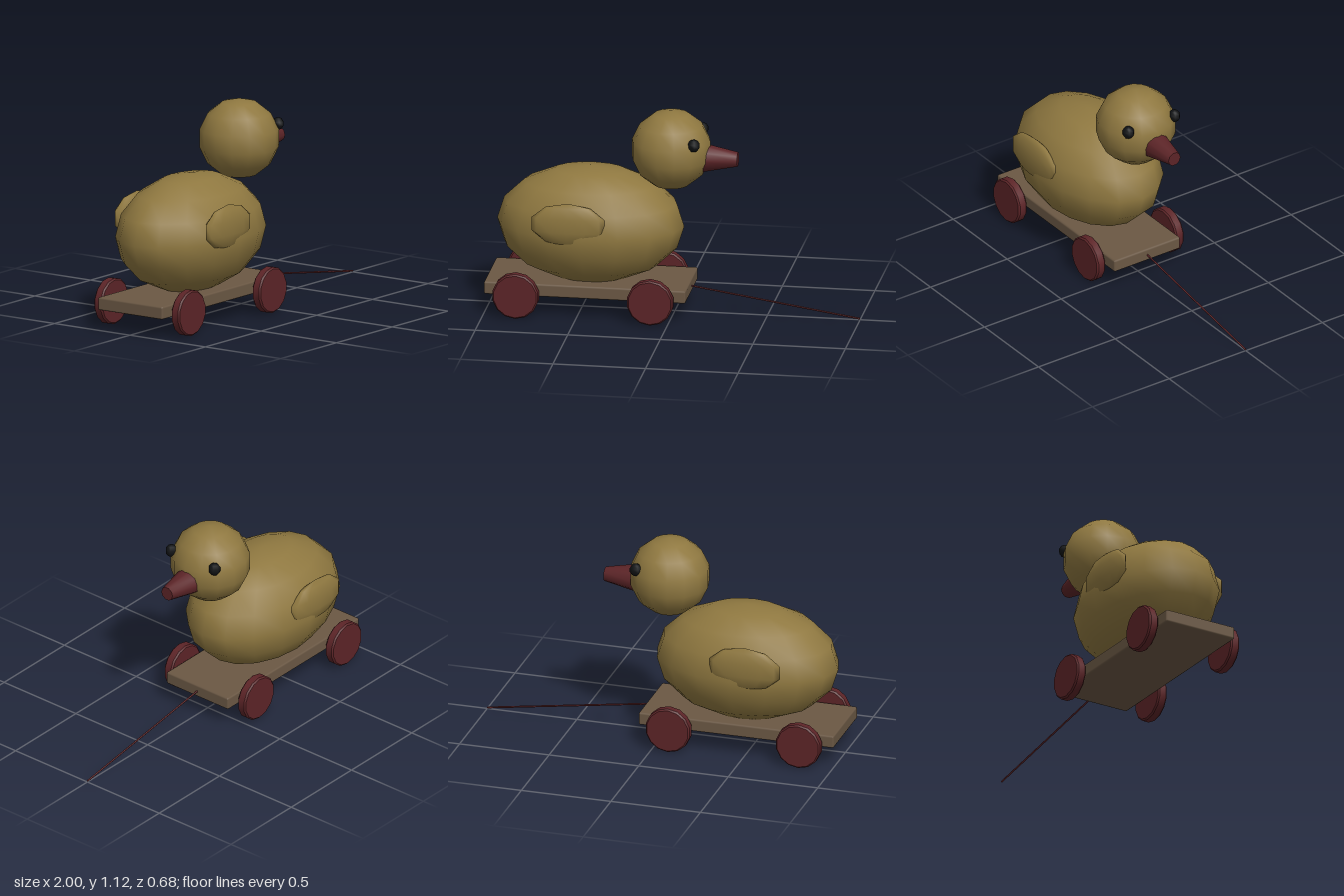
import * as THREE from 'three';
import { RoundedBoxGeometry } from 'three/addons/geometries/RoundedBoxGeometry.js';
import { toCreasedNormals } from 'three/addons/utils/BufferGeometryUtils.js';

const material = (name, color) => {
  const m = new THREE.MeshStandardMaterial({ color });
  m.name = name;
  return m;
};

export function createModel() {
  const yellow = material('mustard', 0x8f7840);
  const wood = material('wood', 0x6b5844);
  const red = material('dark red', 0x5c2427);
  const black = material('black', 0x101214);
  const group = new THREE.Group();

  const add = (name, geometry, mat, x, y, z) => {
    const mesh = new THREE.Mesh(geometry, mat);
    mesh.name = name;
    mesh.position.set(x, y, z);
    group.add(mesh);
    return mesh;
  };
  const ellipsoid = (rx, ry, rz, w, h) => new THREE.SphereGeometry(1, w, h).scale(rx, ry, rz);

  // Bird
  add('body', ellipsoid(0.505, 0.32, 0.335, 16, 8), yellow, -0.455, 0.48, 0);
  add('head', ellipsoid(0.2175, 0.2175, 0.2175, 14, 7), yellow, -0.02, 0.912, 0);
  const beak = toCreasedNormals(new THREE.CylinderGeometry(0.039, 0.08, 0.2, 10), 0.9);
  add('beak', beak.rotateZ(-Math.PI / 2), red, 0.24, 0.872, 0);

  // Rolling board
  add('board', new RoundedBoxGeometry(1.09, 0.07, 0.43, 1, 0.01), wood, -0.455, 0.15, 0);

  // Wheel with a small bevel on both rims
  const profile = [[0, -0.027], [0.117, -0.027], [0.125, -0.019], [0.125, 0.019], [0.117, 0.027], [0, 0.027]];
  const wheel = toCreasedNormals(
    new THREE.LatheGeometry(profile.map(([r, y]) => new THREE.Vector2(r, y)), 14), 0.6
  ).rotateX(Math.PI / 2);

  // Mirrored parts
  for (const [label, side] of [['front', 1], ['back', -1]]) {
    add(`${label}Wing`, ellipsoid(0.207, 0.12, 0.041, 12, 5), yellow, -0.53, 0.555, side * 0.302);
    add(`${label}Eye`, ellipsoid(0.034, 0.035, 0.034, 7, 5), black, 0.125, 0.985, side * 0.15);
    add(`${label}TailWheel`, wheel, red, -0.82, 0.13, side * 0.256);
    add(`${label}HeadWheel`, wheel, red, -0.093, 0.13, side * 0.256);
  }

  // Pull string
  const path = new THREE.LineCurve3(new THREE.Vector3(0.07, 0.152, 0), new THREE.Vector3(0.999, 0.011, 0));
  const string = add('pullString', new THREE.TubeGeometry(path, 1, 0.005, 6), red, 0, 0, 0);
  string.material.side = THREE.DoubleSide;
  return group;
}
